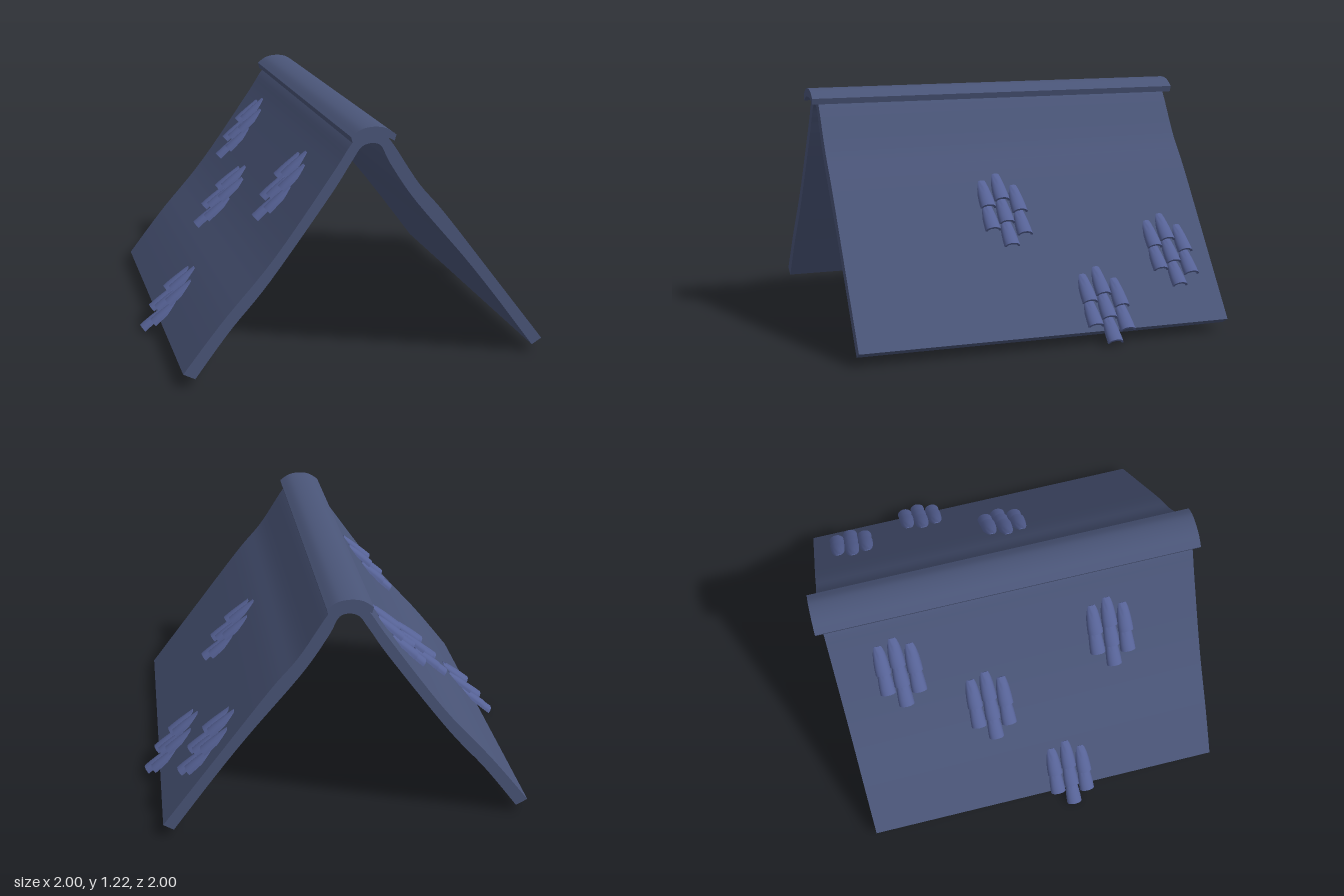
import * as THREE from 'three';
import { toCreasedNormals } from 'three/addons/utils/BufferGeometryUtils.js';

const roofMat = new THREE.MeshStandardMaterial({ color: 0x4a5578, side: THREE.DoubleSide });
const tileMat = new THREE.MeshStandardMaterial({ color: 0x566296, side: THREE.DoubleSide });

const vec = (pts) => pts.map(([x, y]) => new THREE.Vector2(x, y));

// Outer and inner roof lines, running from the -x eave to the +x eave
const OUTER = vec([[-0.917, 0.035], [-0.72, 0.285], [-0.47, 0.575], [-0.19, 0.965], [-0.1, 1.1], [-0.045, 1.145],
  [0.045, 1.145], [0.1, 1.1], [0.235, 0.895], [0.375, 0.73], [0.64, 0.385], [0.908, 0.035]]);
const INNER = vec([[-0.86, 0.005], [-0.69, 0.23], [-0.495, 0.458], [-0.2, 0.86], [-0.095, 1.02], [-0.04, 1.092],
  [0.04, 1.092], [0.095, 0.995], [0.22, 0.81], [0.48, 0.5], [0.66, 0.27], [0.857, 0.005]]);

// Band between two lines, extruded along z
function bandGeometry(outer, inner, z0, z1, samples) {
  const a = new THREE.SplineCurve(outer).getPoints(samples);
  const b = new THREE.SplineCurve(inner).getPoints(samples).reverse();
  const geo = new THREE.ExtrudeGeometry(new THREE.Shape([...a, ...b]), { depth: z1 - z0, bevelEnabled: false });
  geo.translate(0, 0, z0);
  return toCreasedNormals(geo, 0.6);
}

// Height of the outer roof line at x
function roofPoint(x) {
  const i = Math.max(1, OUTER.findIndex((p) => p.x >= x));
  const a = OUTER[i - 1], b = OUTER[i];
  return new THREE.Vector3(x, a.y + (b.y - a.y) * (x - a.x) / (b.x - a.x), 0);
}

// Arched roof tile: narrow end at z = 0, wide end at z = length
function tileGeometry(length) {
  const shape = new THREE.Shape();
  const arc = (rx, ry, from, to, first) => {
    for (let i = 0; i <= 10; i++) {
      const t = from + (to - from) * i / 10;
      const x = Math.cos(t) * rx, y = Math.sin(t) * ry;
      if (first && i === 0) shape.moveTo(x, y); else shape.lineTo(x, y);
    }
  };
  arc(0.041, 0.032, 0, Math.PI, true);
  arc(0.03, 0.019, Math.PI, 0, false);
  const geo = new THREE.ExtrudeGeometry(shape, { depth: length, steps: 4, bevelEnabled: false });
  const p = geo.attributes.position;
  for (let i = 0; i < p.count; i++) {
    const k = 0.66 + 0.34 * Math.sin(p.getZ(i) / length * Math.PI / 2);
    p.setXY(i, p.getX(i) * k, p.getY(i) * k);
  }
  return toCreasedNormals(geo, 0.7);
}

// Patch of three overlapping tile columns; x is the uphill end, z the middle column
function tilePatch(x, z, geo) {
  const side = Math.sign(x), step = 0.128;
  const patch = new THREE.Group();
  patch.name = 'tilePatch';
  const top = roofPoint(x);
  const down = roofPoint(x + side * 0.17).sub(top).normalize();
  const normal = new THREE.Vector3(-down.y * side, Math.abs(down.x), 0);
  const across = new THREE.Vector3().crossVectors(normal, down);
  patch.quaternion.setFromRotationMatrix(new THREE.Matrix4().makeBasis(across, normal, down));
  patch.position.set(top.x, top.y, z);
  // columns: z offset, downhill start, number of tiles
  const columns = [[0, 0, 3], [-0.081, side > 0 ? 0.07 : 0.03, 2], [0.081, side > 0 ? 0.035 : 0.055, 2]];
  for (const [dz, start, count] of columns) {
    for (let i = 0; i < count; i++) {
      const tile = new THREE.Mesh(geo, tileMat);
      tile.name = 'roofTile';
      tile.position.set(dz * across.z, -0.016, start + i * step - 0.025);
      tile.rotation.x = -0.2;
      patch.add(tile);
    }
  }
  return patch;
}

export function createModel() {
  const model = new THREE.Group();
  model.name = 'gableRoof';

  // Two slopes joined in a rounded ridge
  const slopes = new THREE.Mesh(bandGeometry(OUTER, INNER, -0.955, 0.965, 60), roofMat);
  slopes.name = 'roofSlopes';
  model.add(slopes);

  // Curved cap along the ridge
  const capOuter = vec([[-0.11, 1.145], [-0.06, 1.178], [0, 1.188], [0.06, 1.178], [0.11, 1.145]]);
  const capInner = vec([[-0.102, 1.115], [-0.055, 1.138], [0, 1.144], [0.055, 1.138], [0.102, 1.115]]);
  const cap = new THREE.Mesh(bandGeometry(capOuter, capInner, -0.995, 1, 16), roofMat);
  cap.name = 'ridgeCap';
  model.add(cap);

  // Scattered patches of tiles
  const geo = tileGeometry(0.165);
  const patches = [[-0.18, -0.63], [-0.38, -0.2], [-0.735, 0.16], [-0.21, 0.49],
    [0.55, -0.735], [0.715, -0.31], [0.375, 0.11]];
  for (const [x, z] of patches) model.add(tilePatch(x, z, geo));

  return model;
}
